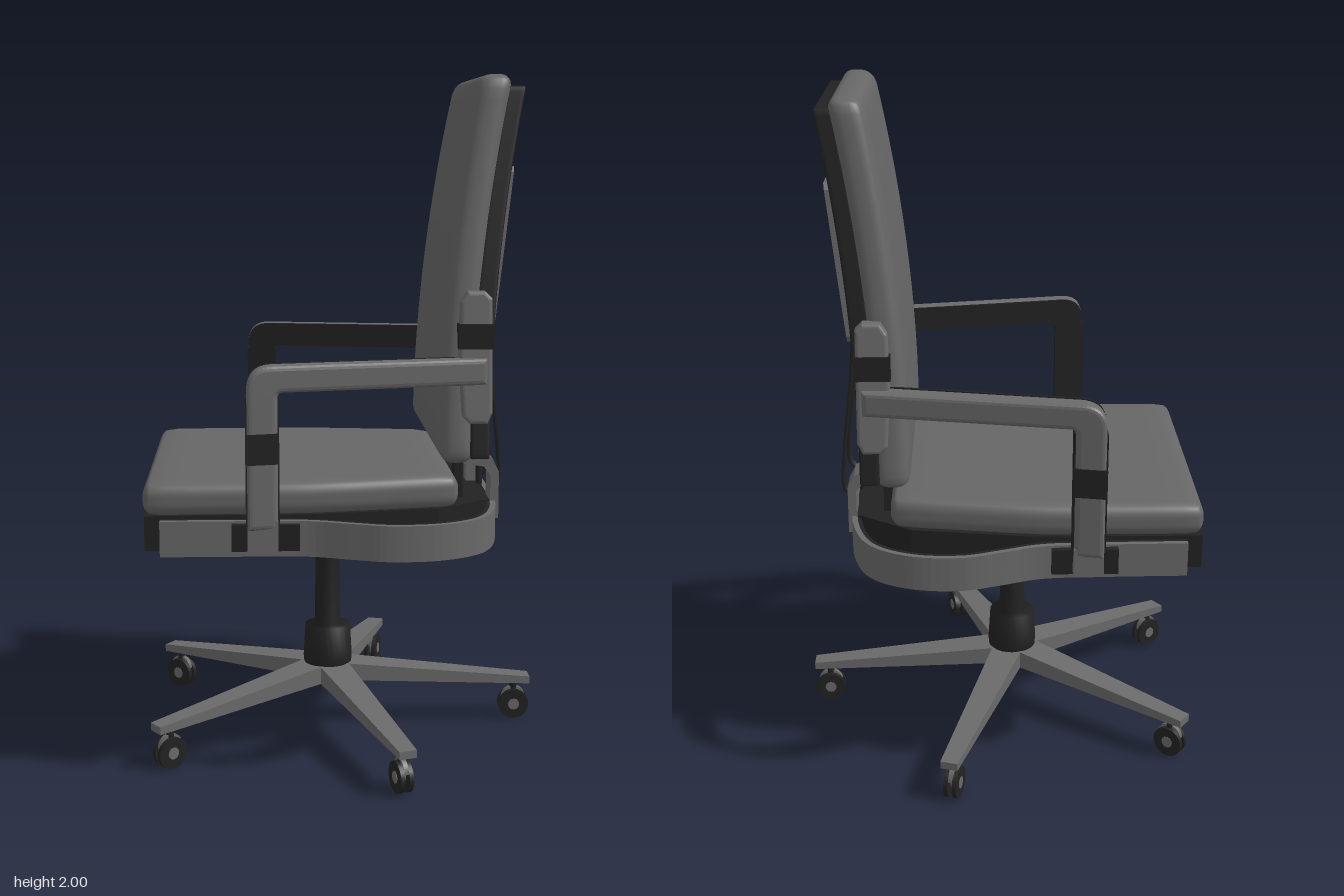
import * as THREE from 'three';
import { mergeVertices } from 'three/addons/utils/BufferGeometryUtils.js';

const mat = (name, color) => {
  const m = new THREE.MeshStandardMaterial({ color });
  m.name = name;
  return m;
};

// Front surface of the curved backrest at height y
const lean = (y) => 0.25 + 0.105 * ((y - 0.92) / 1.04) ** 2;

// Soft-edged block, optionally reshaped by a rule on each vertex
function pillow(w, h, d, r, warp) {
  let g = new THREE.BoxGeometry(2, 2, 2, 12, 24, 24);
  g.deleteAttribute('uv');
  g.deleteAttribute('normal');
  const p = g.attributes.position, v = new THREE.Vector3(), c = new THREE.Vector3();
  const lim = new THREE.Vector3(w / 2 - r, h / 2 - r, d / 2 - r);
  const ease = (t) => Math.sin(t * Math.PI / 2);
  for (let i = 0; i < p.count; i++) {
    v.set(ease(p.getX(i)) * w / 2, ease(p.getY(i)) * h / 2, ease(p.getZ(i)) * d / 2);
    c.copy(v).clamp(lim.clone().negate(), lim);
    v.sub(c).setLength(r).add(c);
    warp(v);
    p.setXYZ(i, v.x, v.y, v.z);
  }
  g = mergeVertices(g, 1e-5);
  g.computeVertexNormals();
  return g;
}

const polygon = (pts) => new THREE.Shape(pts.map(([x, y]) => new THREE.Vector2(x, y)));

function extrude(shape, depth, bevel = 0) {
  return new THREE.ExtrudeGeometry(shape, {
    depth: depth - 2 * bevel, bevelEnabled: bevel > 0, bevelSize: bevel, bevelOffset: -bevel,
    bevelThickness: bevel, bevelSegments: 3, curveSegments: 10,
  }).translate(0, 0, bevel);
}

// Plan outline in x and z, extruded from y0 up to y1
const slab = (shape, y0, y1, bevel) => extrude(shape, y1 - y0, bevel).rotateX(Math.PI / 2).translate(0, y1, 0);

export function createModel() {
  const root = new THREE.Group();
  root.name = 'officeChair';
  const fabric = mat('grey upholstery', 0x666666);
  const metal = mat('grey metal', 0x6a6a6a);
  const dark = mat('black plastic', 0x222222);

  const add = (name, geo, material, parent = root) => {
    const m = new THREE.Mesh(geo, material);
    m.name = name;
    parent.add(m);
    return m;
  };
  const box = (name, x, y, z, material, parent) => add(name,
    new THREE.BoxGeometry(x[1] - x[0], y[1] - y[0], z[1] - z[0])
      .translate((x[0] + x[1]) / 2, (y[0] + y[1]) / 2, (z[0] + z[1]) / 2), material, parent);

  // Seat cushion, narrowing toward the back
  add('seatCushion', pillow(0.9, 0.1, 0.885, 0.04, (v) => {
    v.x -= 0.14;
    v.y += 0.822;
    v.z *= 1 - 0.13 * Math.max(0, v.x + 0.12) / 0.37;
  }), fabric);

  // Seat pan
  const outline = (s, x0, x1) => polygon([[x0, -0.44 * s], [-0.1, -0.44 * s], [0.25, -0.39 * s], [x1, -0.28 * s],
    [x1, 0.28 * s], [0.25, 0.39 * s], [-0.1, 0.44 * s], [x0, 0.44 * s]]);
  add('seatPan', slab(outline(1, -0.585, 0.41), 0.68, 0.78), dark);
  add('seatUnderside', slab(outline(0.93, -0.45, 0.38), 0.655, 0.682, 0.01), dark);

  // Backrest cushion and shell, both tapered and curved
  const backPart = (x0, x1, y0, y1, zTop, zBottom, r) => pillow(x1 - x0, y1 - y0, 2, r, (v) => {
    const t = v.y / (y1 - y0) + 0.5;
    const edge = Math.abs(v.z) - 1;
    v.z = Math.sign(v.z) * (Math.abs(v.z) > 1 - r
      ? THREE.MathUtils.lerp(zBottom, zTop, t) + edge
      : Math.abs(v.z) / (1 - r) * (THREE.MathUtils.lerp(zBottom, zTop, t) - r));
    v.y += (y0 + y1) / 2;
    v.x += (x0 + x1) / 2 + lean(v.y);
  });
  add('backCushion', backPart(0, 0.1, 0.91, 2.0, 0.3, 0.415, 0.04), fabric);
  add('backShell', backPart(0.085, 0.142, 0.925, 1.967, 0.277, 0.412, 0.008), dark);

  // Back plate with two slots and a small hole
  const plate = polygon([[-0.18, 1.3], [-0.165, 1.28], [0.165, 1.28], [0.18, 1.3],
    [0.167, 1.725], [0.15, 1.742], [-0.15, 1.742], [-0.167, 1.725]]);
  for (const z of [-0.06, 0.06]) {
    const slot = new THREE.Path();
    slot.absarc(z, 1.57, 0.028, 0, Math.PI);
    slot.absarc(z, 1.475, 0.028, Math.PI, Math.PI * 2);
    plate.holes.push(slot);
  }
  plate.holes.push(new THREE.Path().absarc(0, 1.645, 0.017, 0, Math.PI * 2));
  const plateGeo = extrude(plate, 0.035).rotateY(Math.PI / 2);
  const pp = plateGeo.attributes.position;
  for (let i = 0; i < pp.count; i++) pp.setX(i, pp.getX(i) + 0.137 + lean(pp.getY(i)));
  plateGeo.computeVertexNormals();
  add('backPlate', plateGeo, metal);

  // Spine, rods and cables below the plate
  box('spine', [0.375, 0.42], [0.7, 1.31], [-0.027, 0.027], metal);
  for (const s of [-1, 1]) {
    add('rod', new THREE.CylinderGeometry(0.01, 0.01, 0.54, 10).translate(0.41, 1.03, s * 0.065), dark);
    for (const z of [0.1, 0.118]) {
      const path = new THREE.CatmullRomCurve3([[0.42, 1.3], [0.432, 1.15], [0.46, 0.9], [0.462, 0.8], [0.43, 0.76]]
        .map(([x, y]) => new THREE.Vector3(x, y, s * z)));
      add('cable', new THREE.TubeGeometry(path, 24, 0.006, 6), dark);
    }
    // Feet joining the frame to the backrest
    const foot = polygon([[0.44, 0.72], [0.44, 0.86], [0.42, 0.9], [0.39, 0.915], [0.37, 0.96], [0.33, 0.96],
      [0.335, 0.885], [0.395, 0.875], [0.415, 0.85], [0.415, 0.72]]);
    add('backFoot', extrude(foot, 0.09).translate(0, 0, s * 0.225 - 0.045), metal);
    box('backStrut', [0.31, 0.335], [0.76, 0.95], [s * 0.225 - 0.03, s * 0.225 + 0.03], dark);
  }

  // Frame band looping around the seat
  const half = [[-0.54, 0.46], [-0.3, 0.465], [-0.12, 0.475], [0, 0.515], [0.1, 0.545], [0.24, 0.535],
    [0.35, 0.47], [0.405, 0.34]];
  const loop = new THREE.CatmullRomCurve3([...half, [0.422, 0], ...half.map(([x, z]) => [x, -z]).reverse()]
    .map(([x, z]) => new THREE.Vector3(x, 0, z)));
  const ribbon = (a, b) => {
    const outer = [], inner = [];
    for (let i = 0; i <= 90; i++) {
      const p = loop.getPoint(i / 90), t = loop.getTangent(i / 90);
      outer.push([p.x - t.z * b, p.z + t.x * b]);
      inner.unshift([p.x - t.z * a, p.z + t.x * a]);
    }
    return slab(polygon([...outer, ...inner]), 0.67, 0.772);
  };
  add('frameBand', ribbon(-0.002, 0.014), metal);
  add('frameLining', ribbon(-0.014, -0.002), dark);

  // Armrest: a rounded corner shape swept inward toward the backrest
  const armShape = new THREE.Shape();
  armShape.moveTo(-0.295, 0.76);
  armShape.lineTo(-0.21, 0.76);
  armShape.lineTo(-0.21, 1.125);
  armShape.quadraticCurveTo(-0.21, 1.14, -0.195, 1.14);
  armShape.lineTo(0.38, 1.14);
  armShape.lineTo(0.38, 1.215);
  armShape.lineTo(-0.225, 1.215);
  armShape.quadraticCurveTo(-0.295, 1.215, -0.295, 1.145);
  const shear = new THREE.Matrix4().set(1, 0, 0, 0, 0, 1, 0, 0, -0.19, 0, 1, -0.0475, 0, 0, 0, 1);
  const bracketShape = polygon([[0.31, 1.05], [0.33, 1.03], [0.38, 1.03], [0.395, 1.06], [0.395, 1.38], [0.375, 1.4],
    [0.325, 1.4], [0.305, 1.37], [0.3, 1.22]]);
  for (const s of [1, -1]) {
    const arm = new THREE.Group();
    arm.name = s > 0 ? 'frontArmrest' : 'rearArmrest';
    root.add(arm);
    const mirror = (geo) => {
      if (s < 0) {
        geo = geo.index ? geo.toNonIndexed() : geo;
        geo.rotateY(Math.PI).scale(-1, 1, 1);
        const p = geo.attributes.position, n = geo.attributes.normal;
        for (const a of [p, n]) for (let i = 0; i < a.count; i += 3) for (const k of ['X', 'Y', 'Z']) {
          const q = a['get' + k](i + 1);
          a['set' + k](i + 1, a['get' + k](i + 2));
          a['set' + k](i + 2, q);
        }
      }
      return geo;
    };
    const put = (name, geo, m) => add(name, mirror(geo), m, arm);
    put('armFrame', extrude(armShape, 0.06, 0.014).translate(0, 0, 0.487).applyMatrix4(shear), metal);
    put('armLining', extrude(armShape, 0.008).translate(0, 0, 0.482).applyMatrix4(shear), dark);
    const block = (x, y, z) => new THREE.BoxGeometry(x[1] - x[0], y[1] - y[0], z[1] - z[0])
      .translate((x[0] + x[1]) / 2, (y[0] + y[1]) / 2, (z[0] + z[1]) / 2);
    put('postCore', block([-0.299, -0.206], [0.76, 1.13], [0.482, 0.535]).applyMatrix4(shear), dark);
    put('postBand', block([-0.298, -0.207], [0.945, 1.03], [0.485, 0.55]).applyMatrix4(shear), dark);
    put('postMount', block([-0.34, -0.15], [0.69, 0.765], [0.44, 0.5]), dark);
    put('postSocket', block([-0.295, -0.21], [0.7, 0.785], [0.47, 0.54]), metal);
    // Bracket clamping the arm to the backrest
    put('backBracket', extrude(bracketShape, 0.05, 0.01).translate(0, 0, 0.375)
      .applyMatrix4(new THREE.Matrix4().set(1, 0, 0, 0, 0, 1, 0, 0, 0, -0.1, 1, 0.11, 0, 0, 0, 1)), metal);
    put('bracketBand', block([0.298, 0.399], [1.24, 1.31], [0.36, 0.412]), dark);
  }

  // Column and five-star base
  const base = new THREE.Group();
  base.name = 'base';
  base.position.x = -0.052;
  root.add(base);
  const column = [[0, 0.15], [0.07, 0.16], [0.076, 0.22], [0.07, 0.32], [0.04, 0.322], [0.037, 0.61], [0.06, 0.62],
    [0.078, 0.645], [0.078, 0.66], [0, 0.66]].map(([r, y]) => new THREE.Vector2(r, y));
  const lathe = new THREE.LatheGeometry(column, 28);
  add('column', lathe, dark, base);
  for (let k = 0; k < 5; k++) {
    const leg = new THREE.Group();
    leg.name = 'baseLeg';
    leg.rotation.y = k * Math.PI * 2 / 5;
    base.add(leg);
    // Tapering arm
    const g = new THREE.BoxGeometry(0.64, 1, 1).translate(0.32, 0, 0);
    const p = g.attributes.position;
    for (let i = 0; i < p.count; i++) {
      const tip = p.getX(i) > 0.3;
      p.setY(i, p.getY(i) > 0 ? (tip ? 0.14 : 0.208) : (tip ? 0.117 : 0.15));
      p.setZ(i, p.getZ(i) * (tip ? 0.052 : 0.1));
    }
    g.computeVertexNormals();
    add('legArm', g, metal, leg);
    // Twin-wheel caster
    add('casterStem', new THREE.CylinderGeometry(0.012, 0.012, 0.07, 10).translate(0.592, 0.09, 0), dark, leg);
    add('casterHood', new THREE.CylinderGeometry(0.038, 0.038, 0.014, 16, 1, false, 0, Math.PI)
      .rotateX(Math.PI / 2).rotateZ(Math.PI / 2).translate(0.592, 0.065, 0), metal, leg);
    for (const z of [-0.013, 0.013]) {
      add('casterWheel', new THREE.CylinderGeometry(0.047, 0.047, 0.013, 20).rotateX(Math.PI / 2)
        .translate(0.592, 0.047, z), dark, leg);
    }
    add('casterAxle', new THREE.CylinderGeometry(0.018, 0.018, 0.042, 12).rotateX(Math.PI / 2)
      .translate(0.592, 0.047, 0), metal, leg);
  }
  return root;
}
